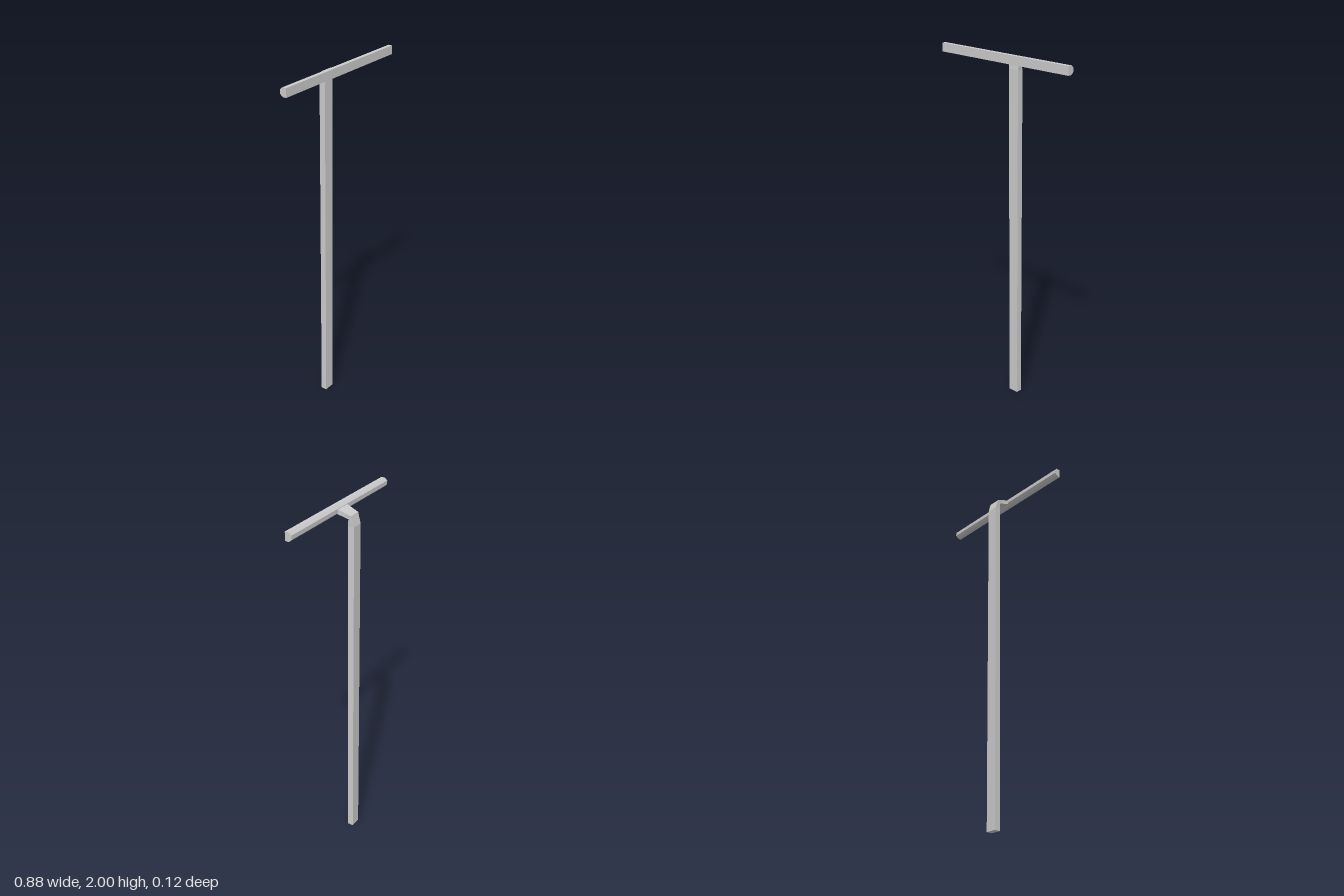
import * as THREE from 'three';

const material = new THREE.MeshStandardMaterial({ color: 0xcccccc, flatShading: true });

// Closed loft through four-cornered sections: half width, back edge [z, y], front edge [z, y]
function loft(sections) {
  const rings = sections.map(([w, [bz, by], [fz, fy]]) => [
    [-w, by, bz], [w, by, bz], [w, fy, fz], [-w, fy, fz],
  ]);
  const pos = [];
  const quad = (a, b, c, d) => [a, b, c, a, c, d].forEach((p) => pos.push(...p));
  for (let s = 0; s < rings.length - 1; s++) {
    const low = rings[s], high = rings[s + 1];
    for (let i = 0; i < 4; i++) {
      const j = (i + 1) % 4;
      quad(low[i], high[i], high[j], low[j]);
    }
  }
  const last = rings[rings.length - 1];
  quad(...rings[0]);
  quad(last[3], last[2], last[1], last[0]);
  const geometry = new THREE.BufferGeometry();
  geometry.setAttribute('position', new THREE.Float32BufferAttribute(pos, 3));
  geometry.computeVertexNormals();
  return geometry;
}

export function createModel() {
  const group = new THREE.Group();
  const add = (name, geometry) => {
    const mesh = new THREE.Mesh(geometry, material);
    mesh.name = name;
    group.add(mesh);
  };

  // Straight flat handle that bends forward and widens into the head
  add('handleAndNeck', loft([
    [0.031, [-0.061, 0], [-0.027, 0]],
    [0.031, [-0.061, 1.905], [-0.027, 1.905]],
    [0.035, [-0.044, 1.96], [-0.03, 1.942]],
    [0.043, [0.026, 1.985], [0.026, 1.958]],
  ]));

  // Crossbar with a flat front and a chamfered back
  const half = 0.44;
  const profile = new THREE.Shape([
    [0.06, 1.953], [0.06, 2], [0.038, 2], [0.024, 1.987], [0.024, 1.966], [0.038, 1.953],
  ].map(([z, y]) => new THREE.Vector2(z, y)));
  const bar = new THREE.ExtrudeGeometry(profile, { depth: 2 * half, bevelEnabled: false });
  bar.rotateY(-Math.PI / 2).translate(half, 0, 0);
  add('crossbar', bar);

  return group;
}
